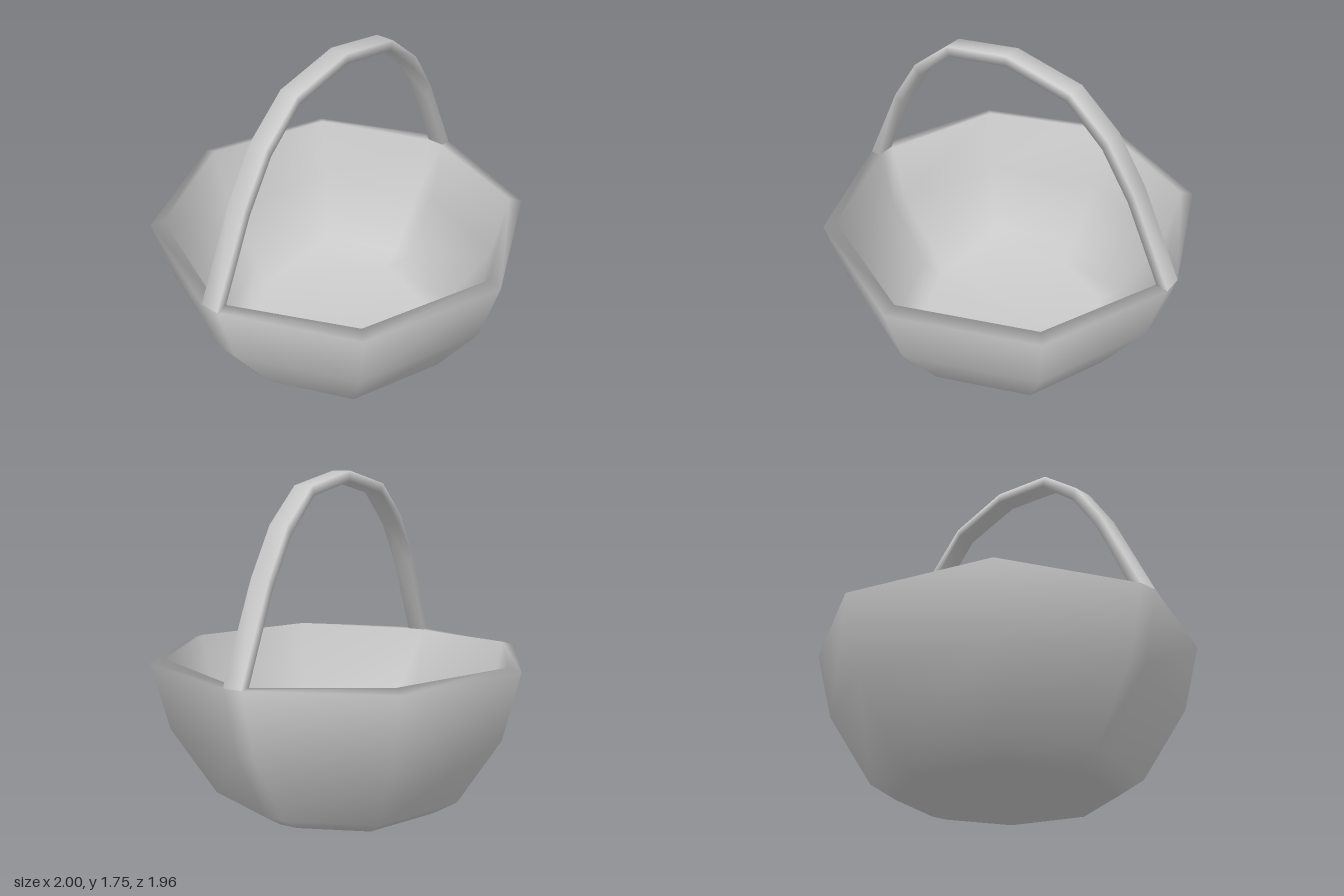
import * as THREE from 'three';

// Joins equal-length rings of [x, y, z] points into one smooth surface.
function skin(rings, capped) {
  const n = rings[0].length, pos = rings.flat(2), index = [];
  for (let r = 0; r < rings.length - 1; r++) {
    for (let i = 0; i < n; i++) {
      const a = r * n + i, b = r * n + (i + 1) % n;
      index.push(a, a + n, b, b, a + n, b + n);
    }
  }
  if (capped) {
    // close the first and last ring with a centre point
    [0, rings.length - 1].forEach((r, k) => {
      const c = pos.length / 3;
      const mid = [0, 1, 2].map(j => rings[r].reduce((s, p) => s + p[j], 0) / n);
      pos.push(...mid);
      for (let i = 0; i < n; i++) {
        const a = r * n + i, b = r * n + (i + 1) % n;
        if (k === 0) index.push(c, a, b); else index.push(c, b, a);
      }
    });
  }
  const geo = new THREE.BufferGeometry();
  geo.setAttribute('position', new THREE.Float32BufferAttribute(pos, 3));
  geo.setIndex(index);
  geo.computeVertexNormals();
  return geo;
}

const HALF = 0.05; // half the handle width

// Octagon with its front and back corners cut flat where the handle meets it.
function bowlRing([r, y]) {
  const d = r * Math.SQRT1_2, e = r - HALF * 0.414, cutY = Math.min(y, 0.79);
  return [
    [r, y, 0], [d, y, d], [HALF, cutY, e], [-HALF, cutY, e], [-d, y, d],
    [-r, y, 0], [-d, y, -d], [-HALF, cutY, -e], [HALF, cutY, -e], [d, y, -d],
  ];
}

export function createModel() {
  const group = new THREE.Group();
  const material = new THREE.MeshStandardMaterial({ color: 0xcccccc, side: THREE.DoubleSide });
  const add = (name, geo) => {
    const mesh = new THREE.Mesh(geo, material);
    mesh.name = name;
    group.add(mesh);
  };

  // Bowl: outer wall from the base up, over the rim, down to the inner floor
  const profile = [
    [0.55, 0], [0.68, 0.08], [0.91, 0.44], [1, 0.79],
    [0.93, 0.81], [0.86, 0.45], [0.65, 0.12], [0.53, 0.05],
  ];
  add('basketBowl', skin(profile.map(bowlRing).map(r => r.slice().reverse()).map(r => r.reverse()), true));

  // Handle: arch of rectangular sections [outer z, outer y, inner z, inner y]
  const half = [
    [0.98, 0.79, 0.92, 0.79], [0.75, 1.26, 0.72, 1.21],
    [0.59, 1.5, 0.56, 1.45], [0.37, 1.68, 0.35, 1.63],
  ];
  const mirrored = half.map(([oz, oy, iz, iy]) => [-oz, oy, -iz, iy]).reverse();
  const arch = [...half, [0, 1.75, 0, 1.695], ...mirrored];
  const sections = arch.map(([oz, oy, iz, iy]) => [
    [HALF, oy, oz], [-HALF, oy, oz], [-HALF, iy, iz], [HALF, iy, iz],
  ]);
  add('handle', skin(sections.map(s => s.reverse()), false));

  return group;
}
